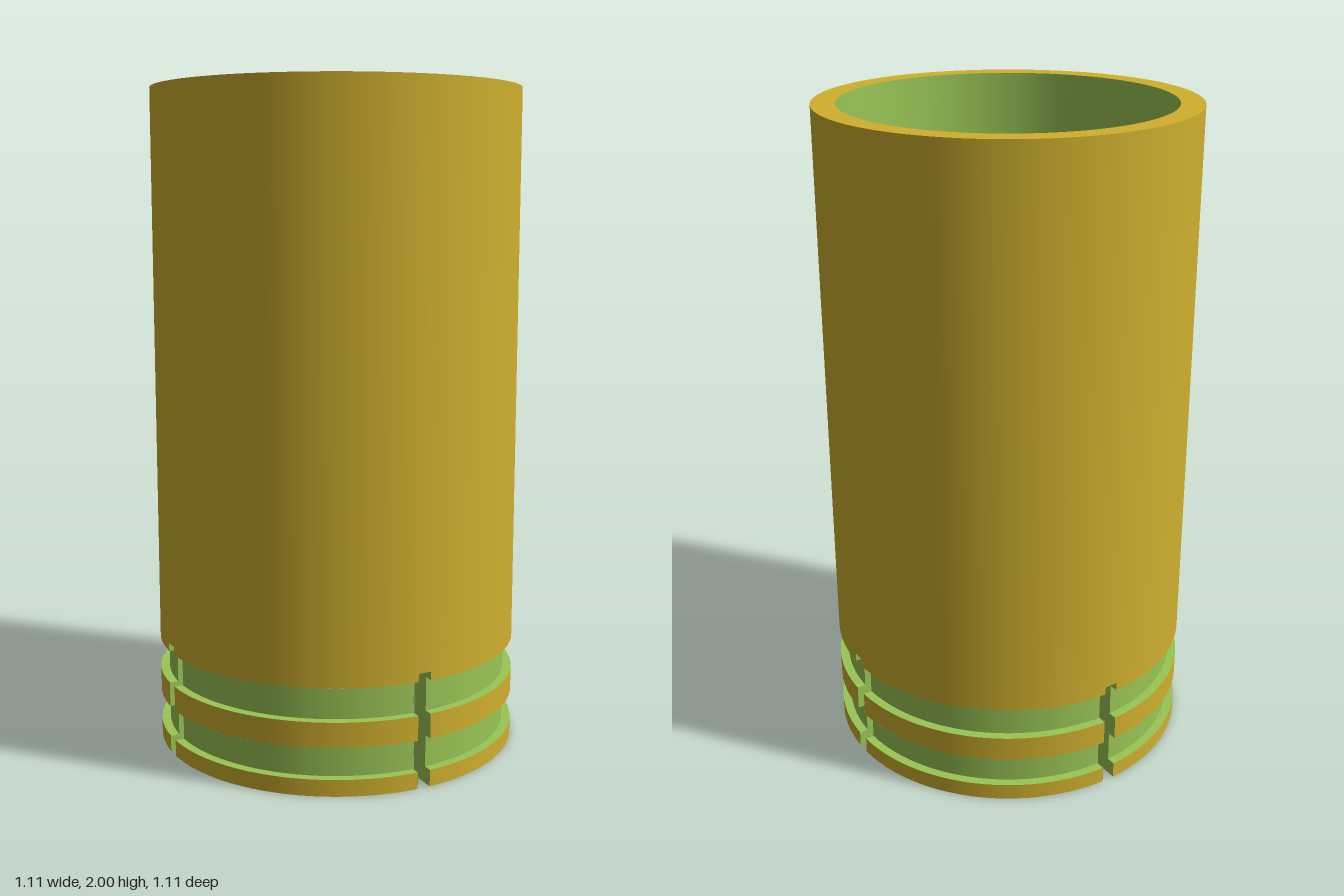
import * as THREE from 'three';

const R = 0.557, GROOVE = 0.53, BORE = 0.487, LOWER = 0.466, HOLE = 0.243;
const SLOT_TOP = 0.345, CEILING = 0.36, FLOOR = 0.43, HALF = 0.02; // HALF: half the slot width

export function createModel() {
  const gold = new THREE.MeshStandardMaterial({ color: 0xd0b02e, side: THREE.DoubleSide });
  const green = new THREE.MeshStandardMaterial({ color: 0x9ac656, side: THREE.DoubleSide });
  gold.name = 'gold';
  green.name = 'green';
  const model = new THREE.Group();
  model.name = 'housing';

  const add = (name, geometry, material, parent = model) => {
    const mesh = new THREE.Mesh(geometry, material);
    mesh.name = name;
    parent.add(mesh);
    return mesh;
  };

  // Round wall, whole or cut into quarters by the four slots
  const wall = (name, r, y0, y1, material, slotted = false) => {
    const gap = slotted ? Math.asin(HALF / r) : 0;
    const count = slotted ? 4 : 1;
    for (let i = 0; i < count; i++) {
      const g = new THREE.CylinderGeometry(r, r, y1 - y0, 96 / count, 1, true,
        Math.PI / 4 + i * Math.PI / 2 + gap, 2 * Math.PI / count - 2 * gap);
      add(name, g.translate(0, (y0 + y1) / 2, 0), material);
    }
  };

  // Flat ring facing up (dir 1) or down (dir -1)
  const ring = (name, r0, r1, y, dir, material, slotted = false) => {
    if (!slotted) {
      const g = new THREE.RingGeometry(r0, r1, 96).rotateX(-dir * Math.PI / 2);
      add(name, g.translate(0, y, 0), material);
      return;
    }
    for (let i = 0; i < 4; i++) {
      const a = Math.PI / 4 + i * Math.PI / 2, b = a + Math.PI / 2;
      const g0 = Math.asin(HALF / r0), g1 = Math.asin(HALF / r1);
      const s = new THREE.Shape();
      s.absarc(0, 0, r1, a + g1, b - g1, false);
      s.absarc(0, 0, r0, b - g0, a + g0, true);
      const g = new THREE.ShapeGeometry(s, 24).rotateX(-dir * Math.PI / 2);
      add(name, g.translate(0, y, 0), material);
    }
  };

  // Main body
  wall('bodyWall', R, SLOT_TOP, 2, gold);
  wall('bodyWallLower', R, 0.32, SLOT_TOP, gold, true);
  ring('topRim', BORE, R, 2, 1, gold);
  wall('bore', BORE, FLOOR, 2, green);

  // Seal grooves and the lands between them
  for (const [y0, y1] of [[0.05, 0.145], [0.22, 0.32]]) {
    wall('sealGroove', GROOVE, y0, y1, green, true);
    ring('grooveLowerFace', GROOVE, R, y0, 1, green, true);
    ring('grooveUpperFace', GROOVE, R, y1, -1, green, true);
  }
  wall('middleLand', R, 0.145, 0.22, gold, true);
  wall('bottomLand', R, 0, 0.05, gold, true);
  wall('grooveNotch', GROOVE, 0.32, 0.3201, green, true);
  ring('bottomRim', LOWER, R, 0, -1, gold, true);

  // Lower recess and pierced floor
  wall('lowerRecess', LOWER, 0, SLOT_TOP, green, true);
  wall('lowerRecessTop', LOWER, SLOT_TOP, CEILING, green);
  ring('floorUnderside', HOLE, LOWER, CEILING, -1, green);
  wall('floorHole', HOLE, CEILING, FLOOR, green);
  ring('floorTop', HOLE, BORE, FLOOR, 1, green);

  // Cheeks and ceilings of the four diagonal slots
  const bands = [[0, 0.05, R], [0.05, 0.145, GROOVE], [0.145, 0.22, R], [0.22, 0.32, GROOVE], [0.32, SLOT_TOP, R]];
  for (let i = 0; i < 4; i++) {
    const slot = new THREE.Group();
    slot.name = 'slot';
    slot.rotation.y = Math.PI / 4 + i * Math.PI / 2;
    model.add(slot);
    for (const side of [-1, 1]) {
      for (const [y0, y1, r] of bands) {
        const g = new THREE.PlaneGeometry(r - LOWER, y1 - y0);
        if (side > 0) g.rotateY(Math.PI);
        add('slotCheek', g.translate((r + LOWER) / 2, (y0 + y1) / 2, side * HALF), green, slot);
      }
    }
    const top = new THREE.PlaneGeometry(R - LOWER, 2 * HALF).rotateX(Math.PI / 2);
    add('slotCeiling', top.translate((R + LOWER) / 2, SLOT_TOP, 0), green, slot);
  }

  // Screw bosses, front and back
  const bossTop = 1.81, bossH = bossTop - FLOOR;
  for (const side of [-1, 1]) {
    const boss = new THREE.Group();
    boss.name = 'screwBoss';
    boss.position.set(0, FLOOR + bossH / 2, side * 0.412);
    model.add(boss);
    add('bossWall', new THREE.CylinderGeometry(0.085, 0.085, bossH, 40, 1, true), gold, boss);
    add('bossHole', new THREE.CylinderGeometry(0.05, 0.05, bossH, 32, 1, true), green, boss);
    add('bossRim', new THREE.RingGeometry(0.05, 0.085, 40).rotateX(-Math.PI / 2).translate(0, bossH / 2, 0), gold, boss);
  }

  // Grooved board rails, left and right
  const railH = 0.8;
  for (const side of [-1, 1]) {
    const rail = new THREE.Group();
    rail.name = 'boardRail';
    rail.position.y = FLOOR;
    model.add(rail);
    const outline = [[0.275, 0.12], [0.5, 0.12], [0.47, 0.23], [0.275, 0.23],
      [0.275, 0.2], [0.315, 0.2], [0.315, 0.153], [0.275, 0.153]];
    const shape = new THREE.Shape(outline.map(([x, z]) => new THREE.Vector2(side * x, -z)));
    add('railBody', new THREE.ExtrudeGeometry(shape, { depth: railH, bevelEnabled: false }).rotateX(-Math.PI / 2), gold, rail);
    // Green lining of the groove
    add('railGrooveBack', new THREE.BoxGeometry(0.002, railH, 0.047).translate(side * 0.314, railH / 2, 0.1765), green, rail);
    for (const z of [0.154, 0.199]) {
      add('railGrooveSide', new THREE.BoxGeometry(0.04, railH, 0.002).translate(side * 0.295, railH / 2, z), green, rail);
    }
  }
  return model;
}
